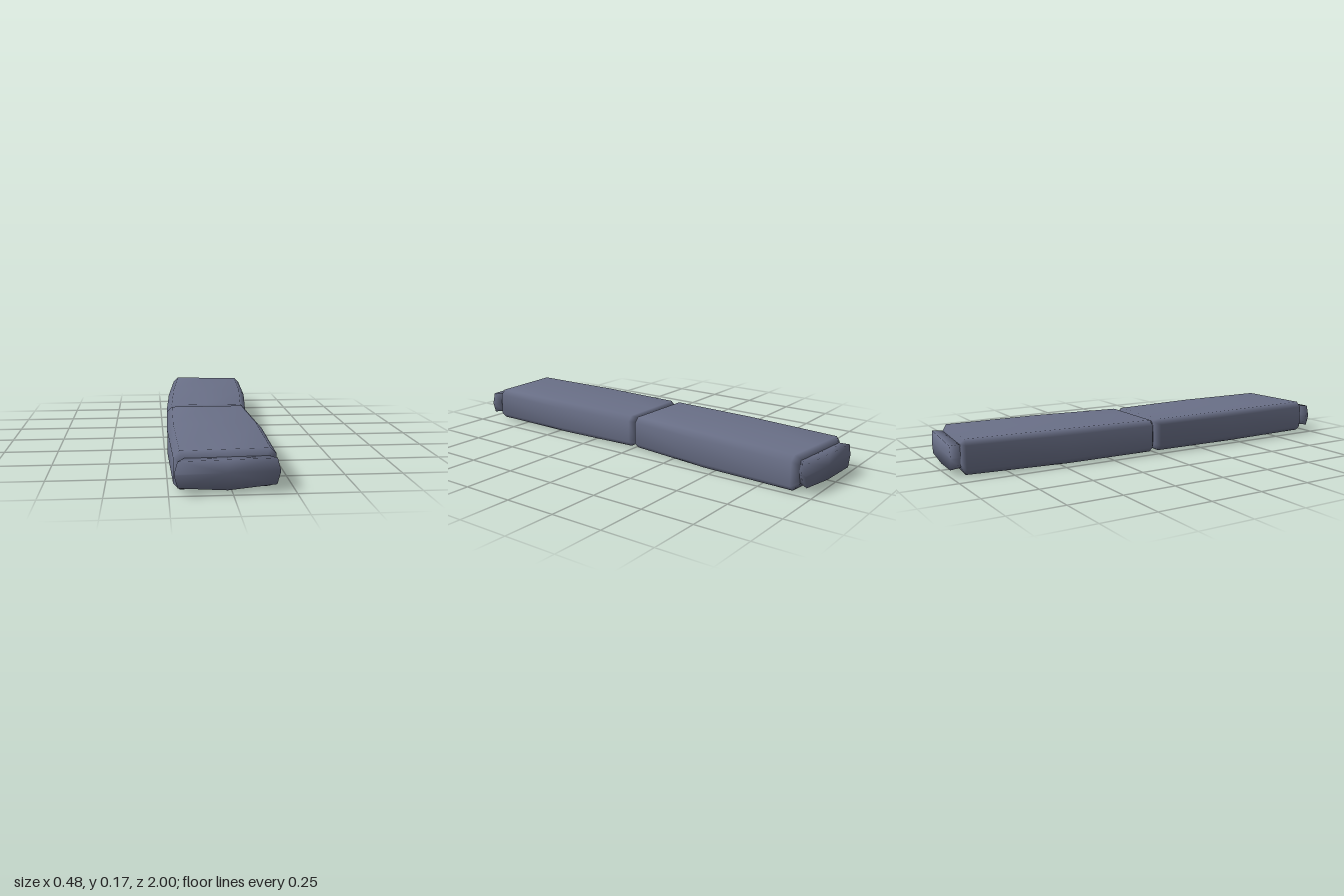
import * as THREE from 'three';

const material = new THREE.MeshStandardMaterial({ color: 0x6a7088 });

// Chamfered rectangle spanning left (xl, zl) to right (xr, zr); counter-clockwise seen from +z
function ring([xl, zl, xr, zr, y0, y1, cx, cy, sag = 0]) {
  const mid = (xl + xr) / 2;
  const outline = [
    [mid, y0 - sag], [xr - cx, y0], [xr, y0 + cy], [xr, y1 - cy], [xr - cx, y1],
    [mid, y1], [xl + cx, y1], [xl, y1 - cy], [xl, y0 + cy], [xl + cx, y0],
  ];
  return outline.map(([x, y]) => [x, y, zl + (zr - zl) * (x - xl) / (xr - xl)]);
}

// Closed, smooth skin through sections listed from back to front
function loft(name, sections) {
  const rings = sections.map(ring);
  const n = rings[0].length;
  const positions = rings.flat(2);
  const index = [];
  for (let i = 0; i < rings.length - 1; i++) {
    for (let j = 0; j < n; j++) {
      const a = i * n + j, b = i * n + (j + 1) % n;
      index.push(a, b, b + n, a, b + n, a + n);
    }
  }
  // End caps fan out from the middle of each end
  [0, rings.length - 1].forEach((i) => {
    const [xl, zl, xr, zr, y0, y1] = sections[i];
    const centre = positions.length / 3;
    positions.push((xl + xr) / 2, (y0 + y1) / 2, (zl + zr) / 2);
    for (let j = 0; j < n; j++) {
      const a = i * n + j, b = i * n + (j + 1) % n;
      if (i === 0) index.push(centre, b, a);
      else index.push(centre, a, b);
    }
  });
  const geometry = new THREE.BufferGeometry();
  geometry.setAttribute('position', new THREE.Float32BufferAttribute(positions, 3));
  geometry.setIndex(index);
  geometry.computeVertexNormals();
  const mesh = new THREE.Mesh(geometry, material);
  mesh.name = name;
  return mesh;
}

export function createModel() {
  const group = new THREE.Group();
  group.name = 'jointedSlab';

  // Each section: xLeft, zLeft, xRight, zRight, bottom, top, chamfer x, chamfer y, bottom sag
  group.add(loft('frontBlock', [
    [-0.20, 0.0, 0.14, 0.0, 0.02, 0.15, 0.02, 0.02],
    [-0.23, 0.025, 0.17, 0.02, 0.006, 0.162, 0.025, 0.025],
    [-0.24, 0.46, 0.188, 0.44, 0.006, 0.165, 0.027, 0.027],
    [-0.23, 0.935, 0.18, 0.91, 0.008, 0.164, 0.025, 0.025],
    [-0.20, 0.952, 0.157, 0.935, 0.035, 0.138, 0.02, 0.02],
  ]));
  group.add(loft('frontEndBar', [
    [-0.20, 0.95, 0.157, 0.933, 0.035, 0.138, 0.012, 0.045],
    [-0.229, 1.0, 0.188, 0.972, 0.032, 0.138, 0.014, 0.05, 0.016],
  ]));

  group.add(loft('backBlock', [
    [-0.14, -0.952, 0.205, -0.922, 0.035, 0.138, 0.02, 0.02],
    [-0.165, -0.935, 0.236, -0.895, 0.002, 0.162, 0.025, 0.025],
    [-0.208, -0.46, 0.214, -0.44, 0, 0.164, 0.027, 0.027],
    [-0.23, -0.025, 0.17, -0.02, 0.006, 0.162, 0.025, 0.025],
    [-0.20, 0.0, 0.14, 0.0, 0.02, 0.15, 0.02, 0.02],
  ]));
  group.add(loft('backEndBar', [
    [-0.147, -1.0, 0.231, -0.963, 0.03, 0.138, 0.014, 0.05, 0.01],
    [-0.14, -0.95, 0.205, -0.92, 0.035, 0.138, 0.012, 0.045],
  ]));

  return group;
}
